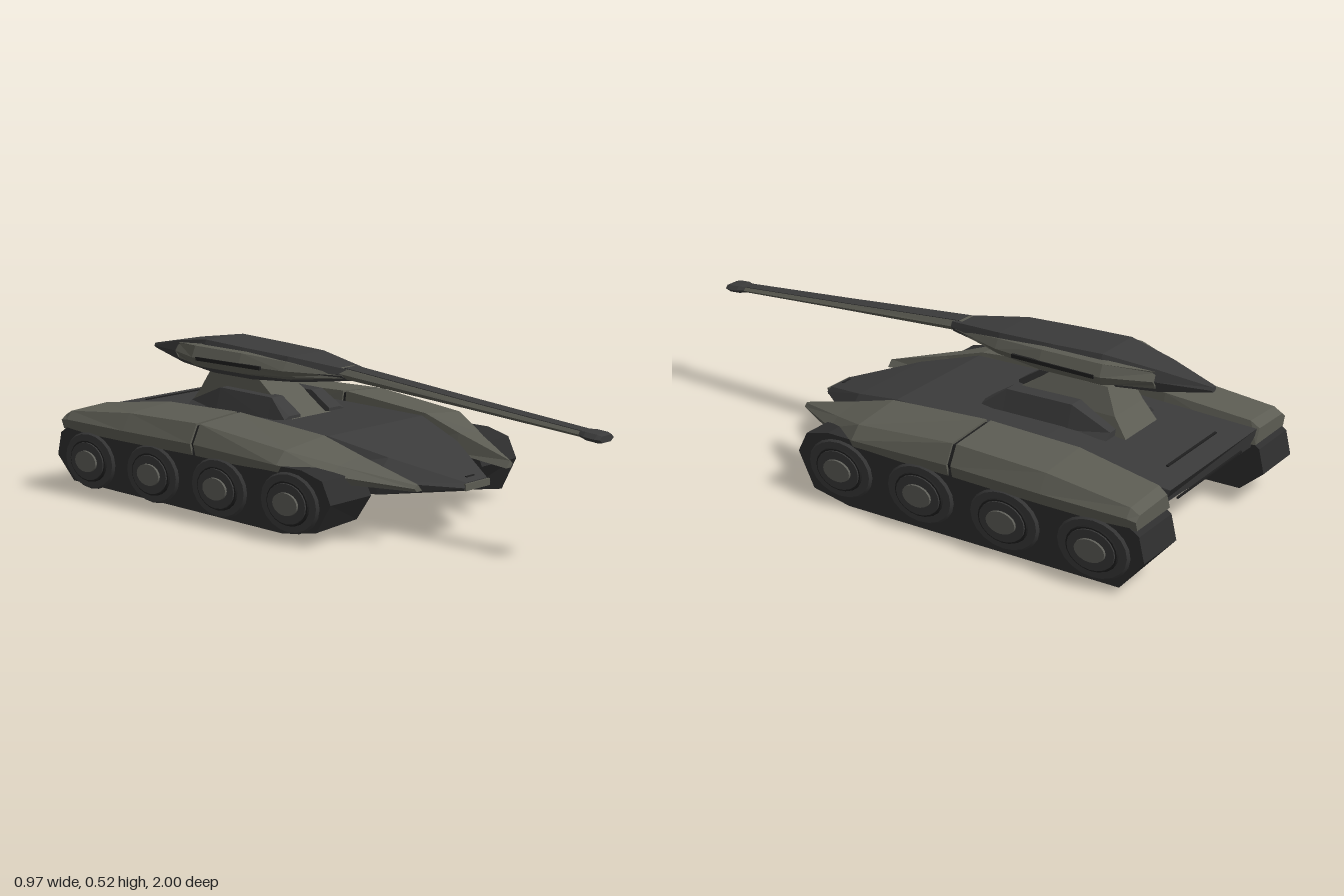
import * as THREE from 'three';

const mat = (name, color) => {
  const m = new THREE.MeshStandardMaterial({ color });
  m.name = name;
  return m;
};

// Closed, flat-faced skin over equal-sized rings of [x, y, z] points
function loft(rings) {
  const tris = [], n = rings[0].length, last = rings[rings.length - 1];
  for (let i = 0; i < rings.length - 1; i++) {
    for (let j = 0; j < n; j++) {
      const k = (j + 1) % n, a = rings[i], b = rings[i + 1];
      tris.push([a[j], a[k], b[k]], [a[j], b[k], b[j]]);
    }
  }
  for (let j = 1; j < n - 1; j++) {
    tris.push([rings[0][0], rings[0][j + 1], rings[0][j]], [last[0], last[j], last[j + 1]]);
  }
  // turn the corners so that every face looks outward
  let volume = 0;
  const v = p => new THREE.Vector3(...p), c = v(rings[0][0]);
  for (const [p, q, r] of tris) volume += v(p).sub(c).dot(v(q).sub(c).cross(v(r).sub(c)));
  if (volume < 0) tris.forEach(t => t.reverse());
  const g = new THREE.BufferGeometry();
  g.setAttribute('position', new THREE.Float32BufferAttribute(tris.flat(2), 3));
  g.computeVertexNormals();
  return g;
}

// Left-right symmetric ring: half widths and heights from bottom to top
const symmetric = (cx, half) => [
  ...half.map(([w, y, z]) => [cx + w, y, z]),
  ...[...half].reverse().map(([w, y, z]) => [cx - w, y, z]),
];

export function createModel() {
  const model = new THREE.Group();
  model.name = 'tank';
  const hullGrey = mat('hullGrey', 0x3b3b3b);
  const armour = mat('armourOliveGrey', 0x5c5c53);
  const trackGrey = mat('trackGrey', 0x2e2e2e);
  const rimGrey = mat('rimGrey', 0x383838);
  const hubGrey = mat('hubGrey', 0x5e5e58);
  const seam = mat('seamBlack', 0x1f1f1f);

  const add = (name, geometry, material, parent = model) => {
    const mesh = new THREE.Mesh(geometry, material);
    mesh.name = name;
    parent.add(mesh);
    return mesh;
  };
  const box = (name, size, pos, material, rx = 0) => {
    const m = add(name, new THREE.BoxGeometry(...size), material);
    m.position.set(...pos);
    m.rotation.x = rx;
    return m;
  };

  // Hull: pointed nose, flat deck, sloping stern
  add('hull', loft([
    [[0.05, 0.145, 0.46], [0.065, 0.157, 0.47], [0.05, 0.172, 0.465]],
    [[0.22, 0.13, 0.25], [0.24, 0.175, 0.25], [0.17, 0.24, 0.25]],
    [[0.27, 0.13, 0.05], [0.28, 0.2, 0.05], [0.23, 0.29, 0.05]],
    [[0.27, 0.13, -0.5], [0.28, 0.2, -0.5], [0.24, 0.298, -0.5]],
    [[0.27, 0.135, -0.86], [0.28, 0.2, -0.95], [0.27, 0.27, -0.97]],
  ].map(h => symmetric(0, h))), hullGrey);
  box('nosePlate', [0.12, 0.022, 0.008], [0, 0.158, 0.468], armour);
  box('noseSlit', [0.04, 0.005, 0.006], [0, 0.181, 0.438], seam, -0.3);
  box('deckSeam', [0.3, 0.004, 0.008], [0, 0.281, -0.89], seam, -0.06);
  box('sternSeam', [0.4, 0.005, 0.006], [0, 0.215, -0.956], seam);

  for (const s of [1, -1]) {
    const side = new THREE.Group();
    side.name = s > 0 ? 'leftSide' : 'rightSide';
    model.add(side);

    // Fender: a tapering front piece and a rear piece with a seam between
    const section = (z, inner, innerTop, outer, outerTop, edge, edgeY, bottom) => [
      [s * inner, bottom, z], [s * (edge - 0.01), bottom, z], [s * edge, edgeY, z],
      [s * outer, outerTop, z], [s * (inner + 0.02), innerTop, z],
    ];
    const middle = z => section(z, 0.238, 0.325, 0.44, 0.312, 0.472, 0.25, 0.212);
    add('frontFender', loft([
      section(0.42, 0.21, 0.19, 0.235, 0.188, 0.245, 0.178, 0.167),
      section(0.2, 0.22, 0.25, 0.345, 0.235, 0.385, 0.21, 0.185),
      section(0.05, 0.228, 0.295, 0.43, 0.275, 0.468, 0.235, 0.205),
      middle(-0.315),
    ]), armour, side);
    add('fenderSeam', loft([-0.31, -0.335].map(z =>
      section(z, 0.243, 0.318, 0.436, 0.305, 0.464, 0.25, 0.215))), seam, side);
    add('rearFender', loft([
      middle(-0.33),
      section(-0.65, 0.235, 0.318, 0.44, 0.305, 0.474, 0.25, 0.212),
      section(-0.94, 0.265, 0.285, 0.445, 0.277, 0.468, 0.25, 0.212),
      section(-0.97, 0.268, 0.265, 0.445, 0.26, 0.465, 0.245, 0.215),
    ]), armour, side);

    // Track: side outline carried across its width, lower at the outer edge
    const outline = [[0.27, 0.14], [0.235, 0.21], [0.15, 0.232], [-0.93, 0.232], [-0.98, 0.2],
      [-1, 0.12], [-0.92, 0.02], [0.07, 0], [0.21, 0.025]];
    const drop = s > 0 ? 0 : 0.02;
    add('track', loft([[0.275, 0.03], [0.46, drop]].map(([x, lift]) =>
      outline.map(([z, y]) => [s * x, y < 0.1 ? y + lift : y, z]))), trackGrey, side);

    // Road wheels: oval rim, dished ring and light hub
    for (const z of [0.1, -0.21, -0.52, -0.83]) {
      const wheel = new THREE.Group();
      wheel.name = 'roadWheel';
      wheel.position.set(s * 0.46, 0.122, z);
      side.add(wheel);
      [['rim', 0.125, 0.097, 0.008, rimGrey], ['groove', 0.093, 0.074, 0.014, seam],
        ['disc', 0.086, 0.068, 0.018, rimGrey], ['hub', 0.055, 0.038, 0.025, hubGrey]]
        .forEach(([name, rz, ry, depth, m]) => {
          const g = new THREE.CylinderGeometry(0.94, 1, 1, 20);
          g.rotateZ(-s * Math.PI / 2).scale(depth, ry, rz).translate(s * depth / 2, 0, 0);
          add(name, g, m, wheel);
        });
    }

    // Pod beside the turret pedestal
    const px = x => -0.025 + s * x;
    add('pedestalPod', loft([
      [-0.2, 0.3, 0.31], [-0.28, 0.29, 0.362], [-0.52, 0.29, 0.368], [-0.66, 0.29, 0.31],
    ].map(([z, y, top]) => [[px(0.07), y, z], [px(0.145), y, z], [px(0.122), top, z], [px(0.07), top, z]])),
    hullGrey, side);

    // Armoured turret cheek with a dark slot along it
    const tx = x => -0.065 + s * x;
    add('turretCheek', loft([
      [0.0, 0.035, 0.046, 0.452, 0.472], [-0.2, 0.075, 0.112, 0.43, 0.495],
      [-0.38, 0.08, 0.137, 0.425, 0.507], [-0.6, 0.08, 0.137, 0.427, 0.51],
      [-0.75, 0.055, 0.072, 0.44, 0.495],
    ].map(([z, a, b, low, high]) => [
      [tx(a), low, z], [tx(b - 0.015), low + 0.012, z], [tx(b), (low + high) / 2, z],
      [tx(b - 0.018), high - 0.004, z], [tx(a), high, z],
    ])), armour, side);
    const slot = add('cheekSlot', new THREE.BoxGeometry(0.009, 0.012, 0.3), seam, side);
    slot.position.set(tx(0.135), 0.466, -0.43);
  }

  // Pedestal that carries the offset turret
  add('turretPedestal', loft([
    [0.285, 0.095, -0.2, -0.7, -0.025], [0.345, 0.085, -0.29, -0.65, -0.03],
    [0.42, 0.065, -0.39, -0.6, -0.045],
  ].map(([y, w, f, b, c]) => [
    [c - w, y, f], [c + w, y, f], [c + w, y, b], [c - w, y, b],
  ])), armour);

  // Turret body: long spindle with a flat crown
  add('turretBody', loft([
    [0.02, 0.025, 0.445, 0.042, 0.465, 0.035, 0.482],
    [-0.2, 0.045, 0.418, 0.1, 0.465, 0.085, 0.508],
    [-0.4, 0.05, 0.405, 0.112, 0.465, 0.09, 0.517],
    [-0.58, 0.05, 0.407, 0.112, 0.465, 0.088, 0.525],
    [-0.75, 0.035, 0.423, 0.065, 0.465, 0.052, 0.502],
    [-0.92, 0.006, 0.453, 0.014, 0.461, 0.008, 0.47],
  ].map(([z, b, yb, m, ym, t, yt]) =>
    symmetric(-0.065, [[b, yb, z], [m, ym, z], [t, yt, z]]))), hullGrey);

  // Gun barrel: flattened, drooping slightly to the muzzle
  const barrel = (z, w, h) => {
    const y = 0.467 - 0.08 * z;
    return symmetric(-0.07, [[w * 0.6, y - h, z], [w, y, z], [w * 0.7, y + h, z]]);
  };
  add('gunBarrel', loft([barrel(-0.02, 0.044, 0.018), barrel(0.5, 0.036, 0.012), barrel(0.95, 0.03, 0.009)]), armour);
  add('barrelTop', loft([[0, 0.03, 0.018], [0.5, 0.025, 0.012], [0.93, 0.021, 0.009]].map(([z, w, h]) => {
    const y = 0.467 - 0.08 * z + h;
    return symmetric(-0.07, [[w, y - 0.003, z], [w, y + 0.002, z]]);
  })), hullGrey);
  add('muzzle', loft([barrel(0.92, 0.03, 0.01), barrel(0.945, 0.041, 0.013),
    barrel(0.985, 0.041, 0.013), barrel(1, 0.035, 0.01)]), hullGrey);
  return model;
}
